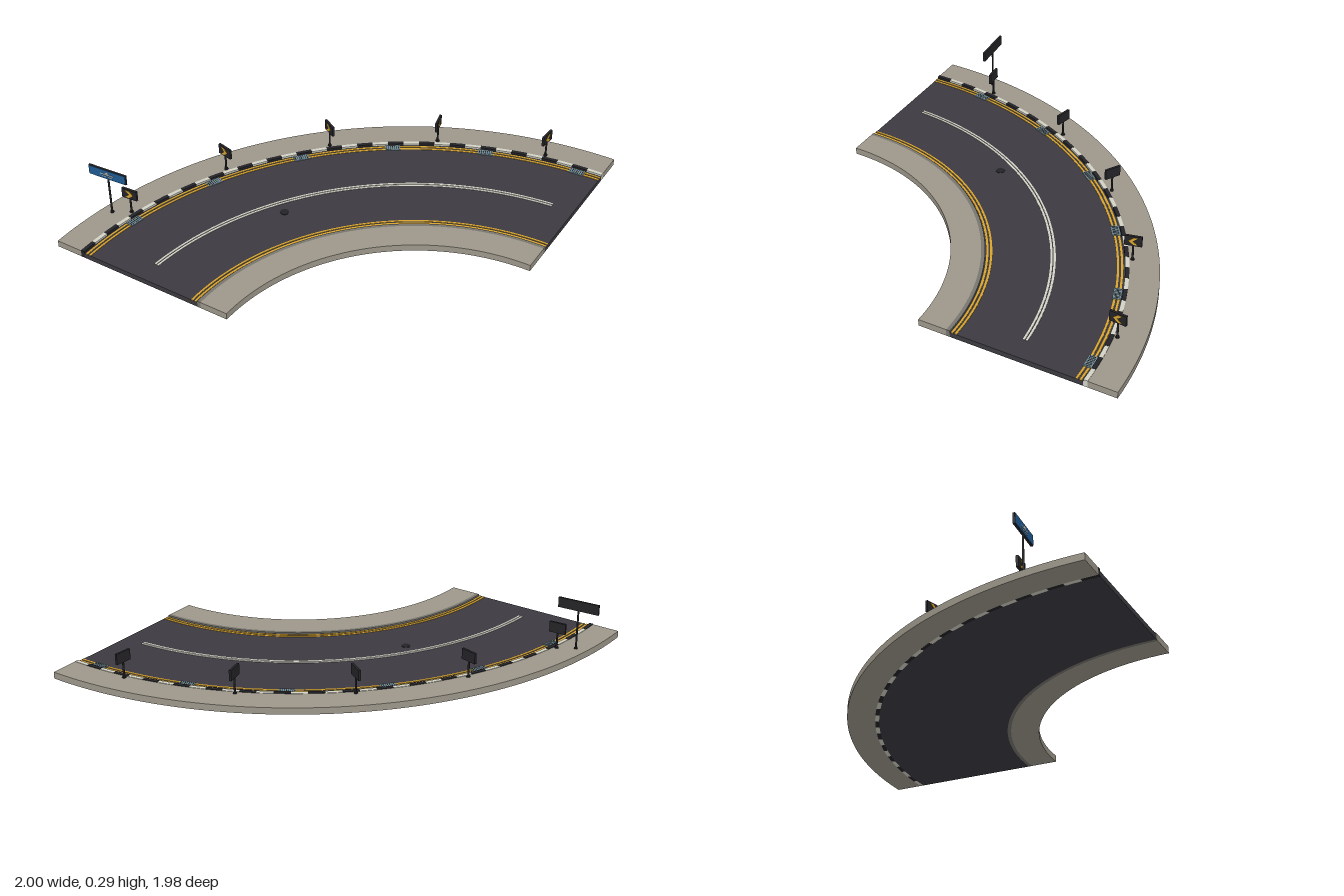
import * as THREE from 'three';

const mat = (name, color) => {
  const m = new THREE.MeshStandardMaterial({ color });
  m.name = name;
  return m;
};
const M = {
  asphalt: mat('asphalt', 0x3c3a40),
  concrete: mat('concrete', 0x9d978a),
  curb: mat('curbGrey', 0x77756e),
  black: mat('black', 0x242428),
  white: mat('white', 0xd2d2c6),
  yellow: mat('yellow', 0xd9a42c),
  steel: mat('grateSteel', 0x708a94),
  blue: mat('signBlue', 0x1f5a92),
};
const RAD = Math.PI / 180;
const CX = 1, CZ = 0.985; // centre of the bend
const ROAD = 0.026, WALK = 0.034;

function mesh(parent, name, geometry, material, x = 0, y = 0, z = 0) {
  const m = new THREE.Mesh(geometry, material);
  m.name = name;
  m.position.set(x, y, z);
  parent.add(m);
  return m;
}

// Ring sector between two radii; angles in degrees, from the back end to the front end
function arc(parent, name, r0, r1, y0, y1, material, a0 = 0, a1 = 90) {
  const p0 = (90 + a0) * RAD, p1 = (90 + a1) * RAD;
  const s = new THREE.Shape();
  s.absarc(0, 0, r1, p0, p1, false);
  s.absarc(0, 0, r0, p1, p0, true);
  const g = new THREE.ExtrudeGeometry(s, {
    depth: y1 - y0, bevelEnabled: false, curveSegments: Math.max(2, Math.ceil((a1 - a0) * 0.6)),
  });
  g.rotateX(-Math.PI / 2);
  return mesh(parent, name, g, material, CX, y0, CZ);
}

// Group placed on the bend by radius and angle, turned by its own heading
function place(parent, name, r, angle, y, heading) {
  const g = new THREE.Group();
  g.name = name;
  g.position.set(CX - r * Math.sin(angle * RAD), y, CZ - r * Math.cos(angle * RAD));
  g.rotation.y = heading * RAD;
  parent.add(g);
  return g;
}

function post(parent, height, radius) {
  mesh(parent, 'post', new THREE.CylinderGeometry(radius, radius, height, 8), M.black, 0, height / 2, 0);
  mesh(parent, 'postFoot', new THREE.CylinderGeometry(radius * 2, radius * 2, 0.005, 8), M.black, 0, 0.0025, 0);
}

function chevronSign(parent, angle) {
  const leftTurn = angle < 40;
  const g = place(parent, 'chevronSign', 1.85, angle, WALK, leftTurn ? angle + 76 : angle - 75);
  post(g, 0.1, 0.005);
  mesh(g, 'signBoard', new THREE.BoxGeometry(0.084, 0.054, 0.012), M.black, 0, 0.109, 0);
  const d = leftTurn ? -1 : 1;
  const pts = [[-0.022, 0.02], [-0.002, 0.02], [0.022, 0], [-0.002, -0.02], [-0.022, -0.02], [0.002, 0]];
  const shape = new THREE.Shape(pts.map(([x, y]) => new THREE.Vector2(x * d, y)));
  mesh(g, 'chevron', new THREE.ExtrudeGeometry(shape, { depth: 0.002, bevelEnabled: false }),
    M.yellow, 0, 0.109, 0.006);
}

function directionSign(parent) {
  const g = place(parent, 'directionSign', 1.92, 80.8, WALK, 4);
  post(g, 0.205, 0.005);
  mesh(g, 'signBack', new THREE.BoxGeometry(0.21, 0.052, 0.01), M.black, 0, 0.227, 0);
  mesh(g, 'signFace', new THREE.BoxGeometry(0.206, 0.048, 0.003), M.blue, 0, 0.227, 0.0062);
  // plain pictogram: a bar, an upward arrow and two short strips
  const z = 0.0082;
  mesh(g, 'signBar', new THREE.BoxGeometry(0.075, 0.005, 0.002), M.white, 0, 0.228, z);
  const arrow = new THREE.Shape([[-0.012, 0], [0.012, 0], [0, 0.012]].map((p) => new THREE.Vector2(...p)));
  mesh(g, 'signArrow', new THREE.ExtrudeGeometry(arrow, { depth: 0.002, bevelEnabled: false }),
    M.white, 0, 0.231, z - 0.001);
  for (const x of [-0.018, 0.018])
    mesh(g, 'signStrip', new THREE.BoxGeometry(0.024, 0.004, 0.002), M.white, x, 0.216, z);
}

function drain(parent, angle) {
  const g = place(parent, 'drainGrate', 1.792, angle, ROAD, angle);
  mesh(g, 'grateFrame', new THREE.BoxGeometry(0.076, 0.004, 0.04), M.steel, 0, 0.002, 0);
  for (let i = -3; i <= 3; i++)
    mesh(g, 'grateSlot', new THREE.BoxGeometry(0.003, 0.001, 0.028), M.black, i * 0.01, 0.0044, 0);
}

export function createModel() {
  const root = new THREE.Group();
  root.name = 'curvedRoad';

  // Carriageway, pavements and kerbs
  arc(root, 'road', 1.165, 1.815, 0, ROAD, M.asphalt);
  arc(root, 'innerPavement', 1.004, 1.147, 0, WALK, M.concrete);
  arc(root, 'outerPavement', 1.835, 1.975, 0, WALK, M.concrete);
  arc(root, 'innerKerb', 1.147, 1.165, 0, WALK, M.curb);

  // Outer kerb in alternating white and black blocks
  for (let i = 0; i < 36; i++) {
    const black = i % 2 === 1;
    arc(root, black ? 'blackKerb' : 'whiteKerb', 1.815, 1.835, 0, black ? 0.037 : 0.036,
      black ? M.black : M.white, i * 2.5, i * 2.5 + 2.5);
  }

  // Painted lines
  for (const r of [1.176, 1.194, 1.783, 1.802])
    arc(root, 'edgeLine', r - 0.005, r + 0.005, ROAD, ROAD + 0.002, M.yellow);
  for (const r of [1.475, 1.49])
    arc(root, 'centreLine', r - 0.005, r + 0.005, ROAD, ROAD + 0.002, M.white, 4.3, 85.7);

  // Manhole cover and drains
  const hole = place(root, 'manhole', 1.407, 57.8, ROAD, 0);
  mesh(hole, 'manholeCover', new THREE.CylinderGeometry(0.022, 0.022, 0.002, 20), M.black, 0, 0.001, 0);
  for (let i = 0; i < 6; i++) drain(root, 3.9 + i * 15.2);

  // Signs
  for (let i = 0; i < 5; i++) chevronSign(root, 9.7 + i * 17.3);
  directionSign(root);
  return root;
}
